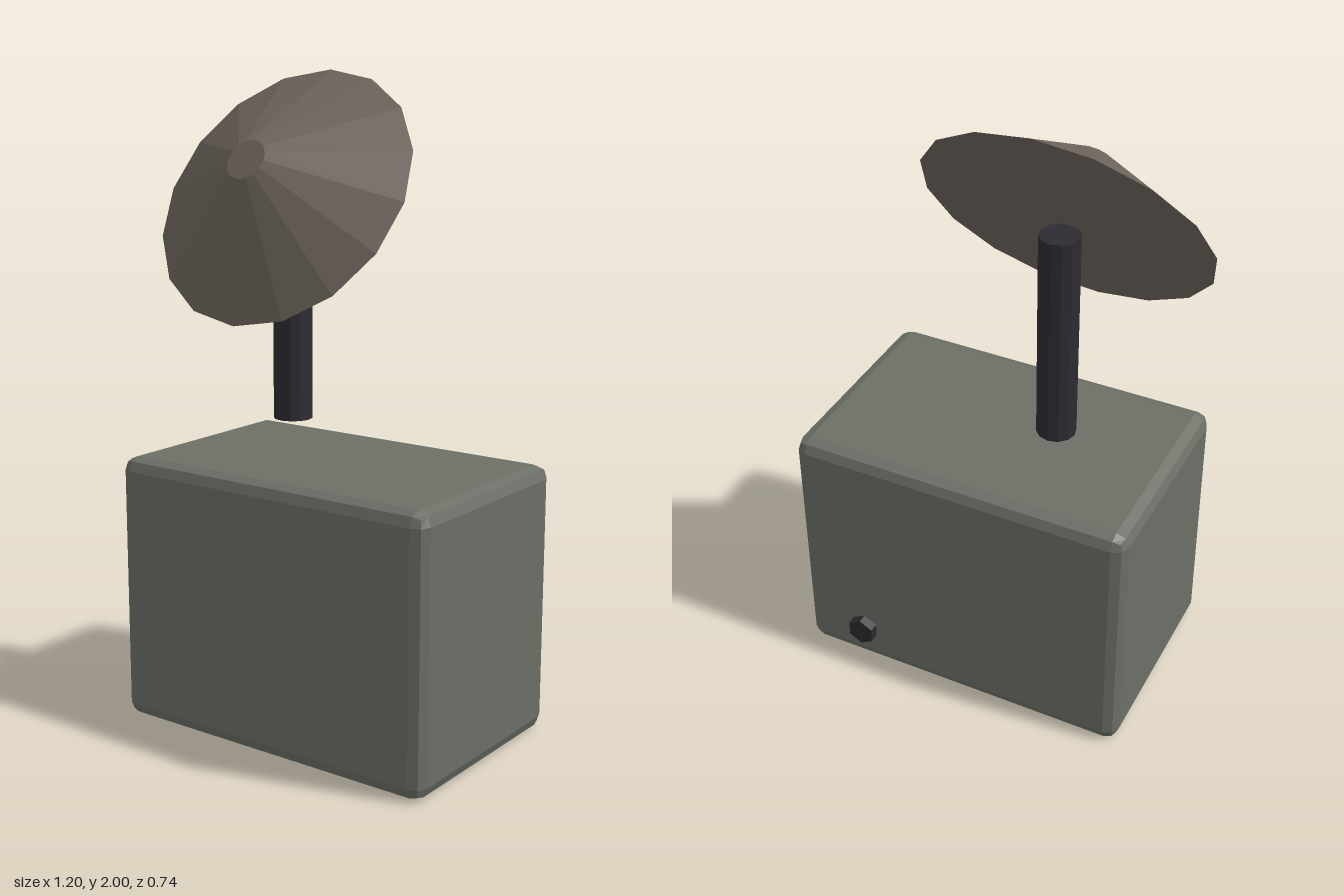
import * as THREE from 'three';
import { RoundedBoxGeometry } from 'three/addons/geometries/RoundedBoxGeometry.js';

export function createModel() {
  const group = new THREE.Group();

  function add(name, geometry, color, x, y, z, tilt = 0) {
    const material = new THREE.MeshStandardMaterial({ color, flatShading: true });
    const mesh = new THREE.Mesh(geometry, material);
    mesh.name = name;
    mesh.position.set(x, y, z);
    mesh.rotation.x = tilt;
    group.add(mesh);
  }

  // Bevelled cabinet
  add('cabinet', new RoundedBoxGeometry(1.11, 0.84, 0.712, 1, 0.042), 0x6b6f66, 0.043, 0.42, 0.013);

  // Post hovering just above the cabinet
  add('post', new THREE.CylinderGeometry(0.061, 0.061, 0.68, 12), 0x2d2b32, -0.162, 1.275, -0.05);

  // Tilted dish: a faceted, closed frustum whose narrow end faces forward and up
  add('dish', new THREE.CylinderGeometry(0.066, 0.442, 0.209, 16), 0x6e655d, -0.162, 1.688, 0.0835, 0.992);

  // Hexagonal knob low on the back
  add('knob', new THREE.CylinderGeometry(0.048, 0.048, 0.06, 6), 0x2a2c2c, 0.382, 0.136, -0.344, Math.PI / 2);

  return group;
}
